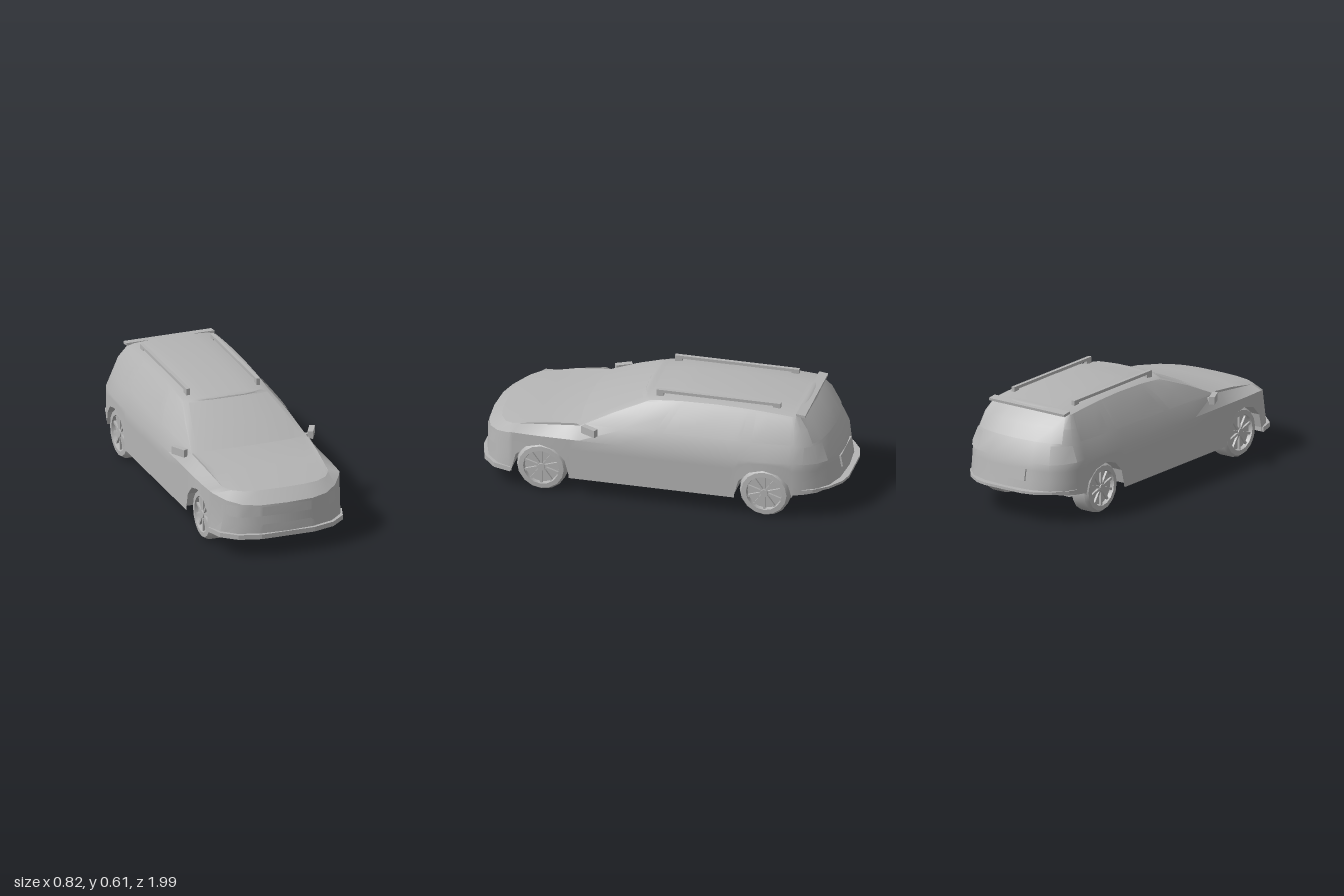
import * as THREE from 'three';
import { toCreasedNormals } from 'three/addons/utils/BufferGeometryUtils.js';

const grey = new THREE.MeshStandardMaterial({ color: 0xb4b4b4 });
grey.name = 'plainGrey';

const lerp = (a, b, t) => a + (b - a) * t;
const mix = (p, q, t) => p.map((v, i) => lerp(v, q[i], t));
const FRONT_WHEEL = 0.63, REAR_WHEEL = -0.59;

// Surface through rows of points (bottom to top, front to rear), on one or both sides
function skin(rows, signs = [1, -1], extra = []) {
  const pos = [];
  const tri = (a, b, c) => {
    const [u, v, w] = [a, b, c].map((p) => new THREE.Vector3(...p));
    if (v.clone().sub(u).cross(w.clone().sub(u)).length() > 1e-8) pos.push(...a, ...b, ...c);
  };
  for (const s of signs) {
    const m = (p) => [p[0] * s, p[1], p[2]];
    for (let r = 0; r + 1 < rows.length; r++) {
      for (let c = 0; c + 1 < rows[r].length; c++) {
        const quad = [rows[r][c], rows[r][c + 1], rows[r + 1][c + 1], rows[r + 1][c]].map(m);
        if (s < 0) quad.reverse();
        tri(quad[0], quad[1], quad[2]);
        tri(quad[0], quad[2], quad[3]);
      }
    }
  }
  extra.forEach((t) => tri(...t));
  const g = new THREE.BufferGeometry();
  g.setAttribute('position', new THREE.Float32BufferAttribute(pos, 3));
  return toCreasedNormals(g, 0.45);
}

// Lengthwise stations along the side, with extra ones round each wheel arch
const arch = (c) => [
  { z: c + 0.158, y: c > 0 ? 0.105 : 0.105 },
  ...Array.from({ length: 7 }, (_, k) => ({
    z: c + 0.155 * Math.cos((k * Math.PI) / 6), y: 0.13 + 0.155 * Math.sin((k * Math.PI) / 6), well: true })),
  { z: c - 0.158, y: c > 0 ? 0.105 : 0.148 },
];
const stations = [...arch(FRONT_WHEEL),
  ...[0.42, 0.2, 0.02, -0.03, -0.25, -0.4].map((z) => ({ z, y: 0.105 })), ...arch(REAR_WHEEL)];
const sideX = (z) => 0.38 - 0.2 * Math.max(0, z - 0.6) ** 2 - 0.5 * Math.max(0, -z - 0.55) ** 2;
const line = (front, side, back) => [...front, ...stations.map(side), ...back];

// Guide lines of the body, each from nose centre to tail centre
const bottom = line(
  [[0, 0.105, 0.985], [0.16, 0.105, 0.975], [0.27, 0.105, 0.94], [0.345, 0.105, 0.87], [0.37, 0.105, 0.805]],
  ({ z, y }) => [sideX(z), y, z],
  [[0.345, 0.15, -0.8], [0.31, 0.155, -0.87], [0.25, 0.165, -0.925], [0.15, 0.17, -0.96], [0, 0.172, -0.972]]);
const shoulder = line(
  [[0, 0.285, 0.975], [0.15, 0.285, 0.965], [0.24, 0.29, 0.935], [0.31, 0.305, 0.88], [0.358, 0.325, 0.81]],
  ({ z }) => [sideX(z) - 0.002, 0.335, z],
  [[0.345, 0.33, -0.8], [0.3, 0.325, -0.865], [0.24, 0.32, -0.91], [0.14, 0.32, -0.935], [0, 0.32, -0.945]]);
const belt = line(
  [[0, 0.342, 0.9], [0.13, 0.342, 0.895], [0.21, 0.342, 0.88], [0.27, 0.345, 0.845], [0.3, 0.352, 0.8]],
  ({ z }) => {
    if (z > 0.4) { const t = (0.788 - z) / 0.368; return [lerp(0.303, 0.33, t), lerp(0.355, 0.402, t), z]; }
    return [0.345 - 0.14 * Math.max(0, -z - 0.4) ** 1.8, lerp(0.408, 0.42, (0.2 - z) / 0.95), z];
  },
  [[0.308, 0.42, -0.795], [0.275, 0.42, -0.84], [0.22, 0.42, -0.87], [0.13, 0.42, -0.89], [0, 0.42, -0.9]]);
const cowl = belt.map((p, i) => i < 5
  ? [[0, 0.405, 0.46], [0.13, 0.404, 0.455], [0.23, 0.402, 0.445], [0.3, 0.402, 0.43], [0.325, 0.402, 0.422]][i]
  : i < 14 ? [0.33, 0.402, 0.42] : p);
const hood = belt.map((p, i) => {
  const q = mix(p, cowl[i], 0.5);
  if (i < 14) q[1] += 0.012;
  return q;
});
const roofEdge = line(
  [[0, 0.562, 0.12], [0.1, 0.561, 0.115], [0.17, 0.56, 0.105], [0.22, 0.558, 0.09], [0.24, 0.556, 0.07]],
  ({ z }) => {
    const zr = z > 0.42 ? 0.06 : z > 0 ? 0.06 - ((0.42 - z) / 0.42) * 0.16 : -0.1 + z * 0.83;
    const y = 0.58 - (zr > -0.3 ? 0.18 : 0.1) * (zr + 0.3) ** 2;
    return [lerp(0.242, 0.255, (0.06 - zr) / 0.78), y, zr];
  },
  [[0.252, 0.562, -0.74], [0.235, 0.563, -0.755], [0.18, 0.564, -0.765], [0.1, 0.565, -0.775], [0, 0.565, -0.78]]);
const glassMid = cowl.map((p, i) => {
  const q = mix(p, roofEdge[i], 0.5);
  return [q[0] * 1.02, q[1] + 0.006, q[2] * 1.01];
});
const roofAt = (k, rise) => roofEdge.map(([x, y, z]) => [x * k, y + (rise * x) / 0.25, z]);
const bodyRows = [bottom, bottom.map((p, i) => mix(p, shoulder[i], 0.4)),
  bottom.map((p, i) => mix(p, shoulder[i], 0.75)), shoulder, belt, hood, cowl, glassMid, roofEdge,
  roofAt(0.85, 0.011), roofAt(0.45, 0.018), roofAt(0, 0.02)];

// Thin pane laid over the greenhouse between two stations
function pane(c0, c1, v0, v1, off, signs) {
  const rows = [v0, 1, v1].map((v) => {
    const out = [];
    for (let c = c0; c <= c1; c++) {
      const p = v <= 1 ? mix(cowl[c], glassMid[c], v) : mix(glassMid[c], roofEdge[c], v - 1);
      out.push(p.map((n, i) => n + off[i]));
    }
    return out;
  });
  return skin(rows, signs);
}

// Depth of the nose at a given width and height
function noseZ(x, y) {
  const at = (row) => {
    const ax = Math.abs(x);
    let i = 0;
    while (i < 3 && row[i + 1][0] < ax) i++;
    return lerp(row[i][2], row[i + 1][2], (ax - row[i][0]) / (row[i + 1][0] - row[i][0]));
  };
  return lerp(at(bottom), at(shoulder), (y - 0.105) / 0.18);
}
// Thin nose panel from [x, low y, high y] steps, outermost first
const nosePanel = (steps, signs) => {
  const edge = (k) => steps.map((s) => [s[0], s[k], noseZ(s[0], s[k]) + 0.005]);
  return skin([edge(2), edge(1)], signs);
};

export function createModel() {
  const model = new THREE.Group();
  const add = (name, geo, parent = model) => {
    const mesh = new THREE.Mesh(geo, grey);
    mesh.name = name;
    parent.add(mesh);
    return mesh;
  };
  const box = (name, w, h, d, x, y, z, parent) => {
    const mesh = add(name, new THREE.BoxGeometry(w, h, d), parent);
    mesh.position.set(x, y, z);
    return mesh;
  };

  // Body shell and underside, notched at the wheels
  add('body', skin(bodyRows));
  const floorEdge = bottom.map((p, i) => (stations[i - 5]?.well ? [0.25, 0.105, p[2]] : p));
  const floor = [];
  for (let i = 0; i + 1 < floorEdge.length; i++) {
    const [a, b] = [floorEdge[i], floorEdge[i + 1]];
    const [ar, br] = [a, b].map((p) => [-p[0], p[1], p[2]]);
    floor.push([a, ar, br], [a, br, b]);
  }
  add('underside', skin([], [], floor));
  for (const start of [6, 21]) {
    const outer = bottom.slice(start, start + 7);
    add('wheelWell', skin([outer.map((p) => [0.25, 0.105, p[2]]), outer.map((p) => [0.25, p[1], p[2]]), outer]));
  }

  // Windows
  add('windscreen', pane(0, 3, 0.06, 1.93, [0, 0.004, 0.003]));
  add('rearWindow', pane(30, 33, 0.06, 1.85, [0, 0.003, -0.004]));
  for (const [a, b] of [[14, 16], [17, 22], [23, 27]]) add('sideWindow', pane(a, b, 0.1, 1.88, [0.004, 0.001, 0]));

  // Nose panels
  add('headlight', nosePanel([[0.15, 0.277, 0.225], [0.2, 0.281, 0.222], [0.24, 0.284, 0.22], [0.27, 0.284, 0.22],
    [0.3, 0.282, 0.222], [0.33, 0.272, 0.245]].map(([x, h, l]) => [x, h, l])));
  add('grille', nosePanel([[0, 0.275, 0.225], [0.14, 0.275, 0.225]]));
  add('lowerIntake', nosePanel([[0, 0.178, 0.13], [0.135, 0.178, 0.13], [0.15, 0.165, 0.13], [0.167, 0.132, 0.13]]));

  // Tail lights and rear plate
  const lamp = (t) => shoulder.slice(29, 32).map((p, i) => {
    const q = mix(p, belt[29 + i], t);
    return [q[0] + 0.003, q[1], q[2] - 0.004];
  });
  add('tailLight', skin([lamp(0), lamp(0.95)]));
  box('rearPlate', 0.23, 0.065, 0.01, 0, 0.255, -0.953).rotation.x = 0.18;

  // Bumper lips
  const lip = (name, pts, y, h) => {
    const outline = [...pts, ...pts.slice().reverse().map(([x, z]) => [-x, z])];
    const shape = new THREE.Shape(outline.map(([x, z]) => new THREE.Vector2(x, -z)));
    const geo = new THREE.ExtrudeGeometry(shape, { depth: h, bevelEnabled: false });
    add(name, geo.rotateX(-Math.PI / 2)).position.y = y;
  };
  lip('frontLip', [[0.15, 0.995], [0.27, 0.96], [0.35, 0.89], [0.38, 0.795]], 0.103, 0.026);
  lip('rearLip', [[0.12, -0.998], [0.19, -0.98], [0.27, -0.925], [0.33, -0.85], [0.35, -0.795]], 0.165, 0.014);

  // Roof spoiler and rails
  box('spoiler', 0.5, 0.014, 0.05, 0, 0.57, -0.765).rotation.x = -0.12;
  for (const s of [1, -1]) {
    box('roofRail', 0.02, 0.016, 0.68, s * 0.2, 0.599, -0.305);
    for (const z of [0.015, -0.625]) box('railFoot', 0.02, 0.035, 0.04, s * 0.2, 0.583, z);
  }

  // Door mirrors
  for (const s of [1, -1]) {
    const mirror = new THREE.Group();
    mirror.name = 'doorMirror';
    mirror.position.set(s * 0.375, 0.399, 0.36);
    mirror.rotation.y = s * 1.1;
    box('mirrorHousing', 0.09, 0.042, 0.03, 0, 0, 0, mirror);
    model.add(mirror);
    box('mirrorStem', 0.05, 0.018, 0.025, s * 0.348, 0.388, 0.365);
  }

  // Wheels
  const tyreProfile = [[0, -0.052], [0.137, -0.052], [0.137, 0.03], [0.124, 0.05], [0.098, 0.052], [0.094, 0.03], [0, 0.03]]
    .map(([r, h]) => new THREE.Vector2(r, h));
  const tyre = toCreasedNormals(new THREE.LatheGeometry(tyreProfile, 16), 0.5);
  for (const s of [1, -1]) {
    for (const z of [FRONT_WHEEL, REAR_WHEEL]) {
      const wheel = new THREE.Group();
      wheel.name = 'wheel';
      wheel.position.set(s * 0.305, 0.137, z);
      wheel.rotation.z = -s * Math.PI / 2;
      add('tyre', tyre, wheel);
      add('hub', new THREE.CylinderGeometry(0.02, 0.024, 0.018, 10), wheel).position.y = 0.039;
      for (let k = 0; k < 10; k++) {
        const a = (k * Math.PI) / 5;
        const spoke = box('spoke', 0.08, 0.012, 0.013, 0.056 * Math.cos(a), 0.037, 0.056 * Math.sin(a), wheel);
        spoke.rotation.y = -a;
      }
      model.add(wheel);
    }
  }
  return model;
}
